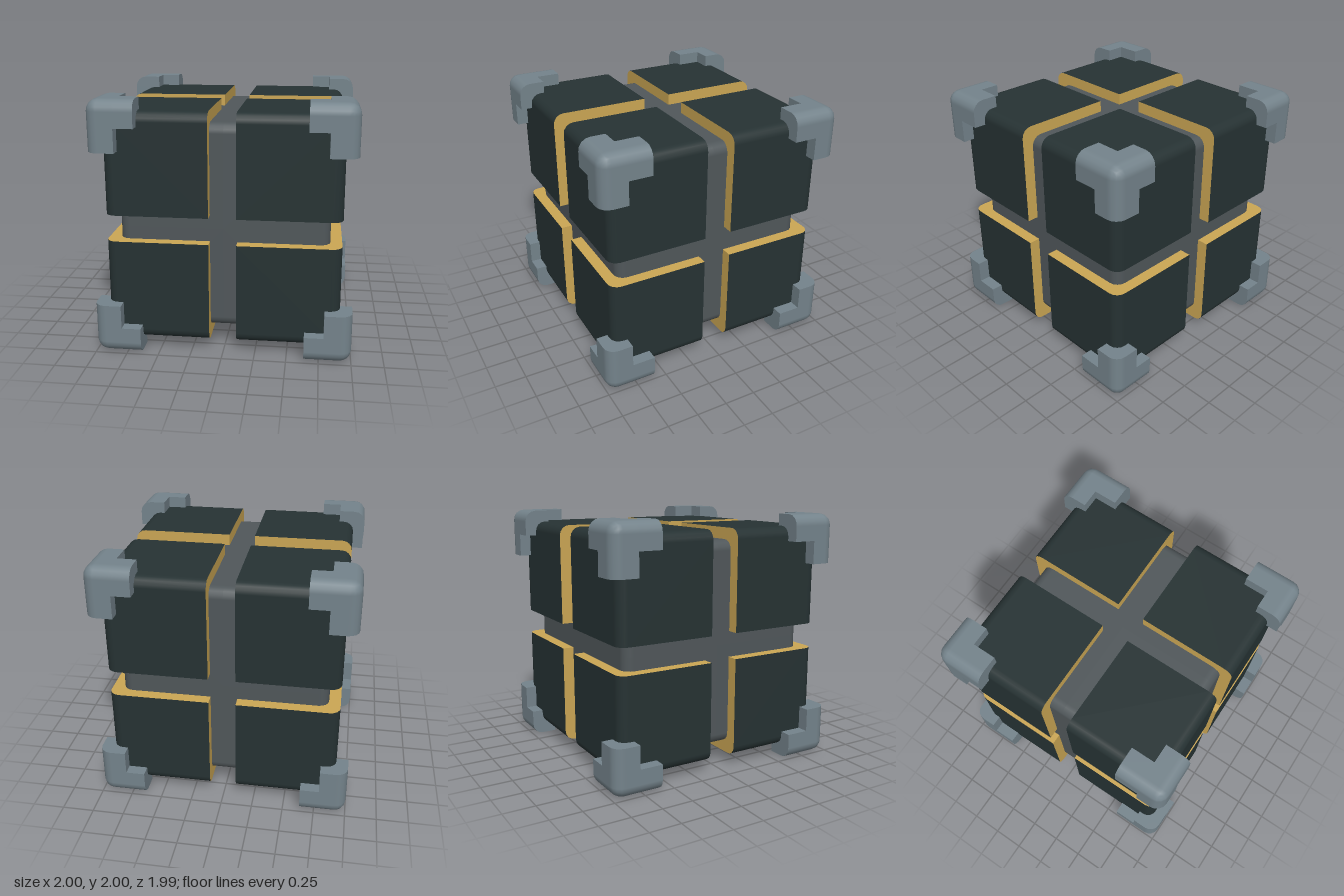
import * as THREE from 'three';

const material = (name, color) => {
  const m = new THREE.MeshStandardMaterial({ color });
  m.name = name;
  return m;
};

// Box from min to max whose +side edges are rounded on the chosen axes;
// the -side faces stay flat. "signs" mirrors it into any octant.
function octantBox(min, max, r, signs, round = [1, 1, 1], n = 2) {
  const seg = round.map((on) => (on ? n + 1 : 1));
  const geo = new THREE.BoxGeometry(1, 1, 1, ...seg);
  const pos = geo.attributes.position, nor = geo.attributes.normal;
  for (let i = 0; i < pos.count; i++) {
    const p = [], d = [0, 0, 0];
    for (let a = 0; a < 3; a++) {
      const k = Math.round((pos.getComponent(i, a) + 0.5) * seg[a]);
      if (!round[a]) p[a] = k ? max[a] : min[a];
      else if (k === 0) p[a] = min[a];
      else {
        p[a] = max[a] - r;
        d[a] = r * Math.tan(((k - 1) / n) * Math.PI / 4);
      }
    }
    // Pull the square corner zone onto a round one
    const len = Math.hypot(...d), s = len ? Math.max(...d) / len : 0;
    pos.setXYZ(i, ...p.map((v, a) => v + d[a] * s));
    const outer = [0, 1, 2].some((a) => round[a] && nor.getComponent(i, a) > 0.5);
    if (outer) nor.setXYZ(i, ...d.map((v) => v / len));
  }
  geo.scale(...signs);
  if (signs[0] * signs[1] * signs[2] < 0) {
    const idx = geo.index;
    for (let i = 0; i < idx.count; i += 3) {
      const t = idx.getX(i + 1);
      idx.setX(i + 1, idx.getX(i + 2));
      idx.setX(i + 2, t);
    }
  }
  return geo;
}

export function createModel() {
  const dark = material('dark shell', 0x263233);
  const gold = material('gold lining', 0xcba654);
  const steel = material('steel corner', 0x74838b);
  const grey = material('grey core', 0x50575a);

  const model = new THREE.Group();
  model.name = 'segmentedCube';
  const body = new THREE.Group();
  body.name = 'body';
  body.position.y = 1;
  model.add(body);

  const add = (parent, name, geo, mat) => {
    const mesh = new THREE.Mesh(geo, mat);
    mesh.name = name;
    parent.add(mesh);
  };

  const armStart = [0.635, 0.605, 0.6];
  const inner = [0.785, 0.79, 0.787];
  const outer = [1, 1, 0.995];
  const core = new THREE.Group();
  core.name = 'core';
  body.add(core);

  for (const x of [-1, 1]) for (const y of [-1, 1]) for (const z of [-1, 1]) {
    const s = [x, y, z];
    const where = `${y > 0 ? 'Top' : 'Bottom'}${z > 0 ? 'Front' : 'Back'}${x > 0 ? 'Left' : 'Right'}`;

    // One eighth of the rounded core, without its hidden inner faces
    const eighth = octantBox([0, 0, 0], [0.815, 0.815, 0.812], 0.08, s);
    add(core, `core${where}`, eighth, grey);

    // Block: dark outside, gold on the three faces along the gaps
    const block = octantBox([0.106, 0.104, 0.112], [0.906, 0.906, 0.903], 0.08, s);
    add(body, `block${where}`, block, [dark, gold, dark, gold, dark, gold]);

    // Three-armed corner guard
    const guard = new THREE.Group();
    guard.name = `cornerGuard${where}`;
    body.add(guard);
    add(guard, 'guardCorner', octantBox(inner, outer, 0.09, s), steel);
    for (let a = 0; a < 3; a++) {
      const lo = [...inner], hi = [...outer], round = [1, 1, 1];
      lo[a] = armStart[a];
      hi[a] = inner[a];
      round[a] = 0;
      add(guard, `guardArm${'XYZ'[a]}`, octantBox(lo, hi, 0.09, s, round), steel);
    }
  }
  return model;
}
